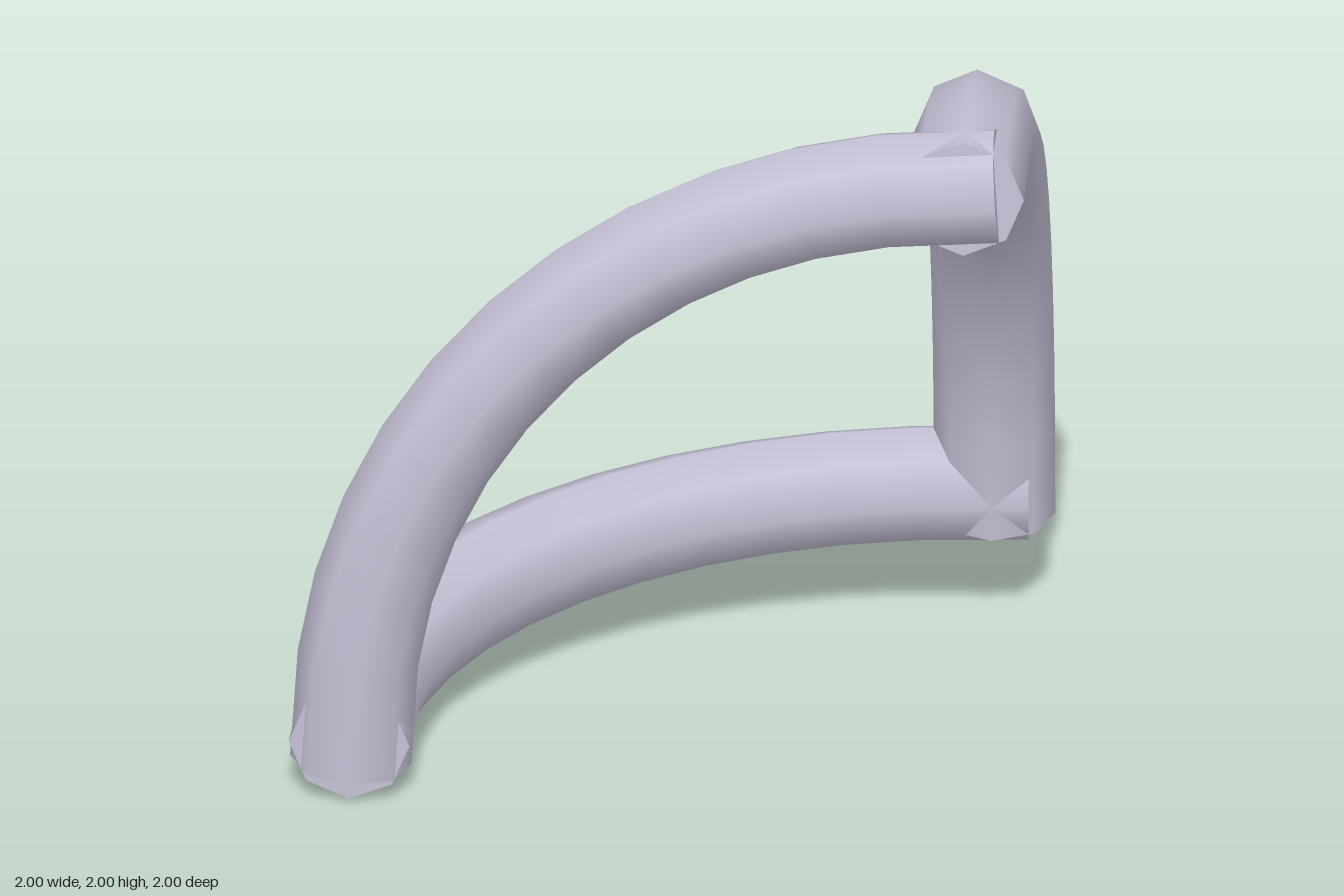
import * as THREE from 'three';

const SIDES = 8, STEPS = 12;
const ARC = 1.664, TUBE = 0.165, OVERRUN = 0.09;

// Quarter-circle octagonal tube sweeping from axis u to axis v, with capped, straight overrunning ends
function quarterTube(u, v) {
  const w = new THREE.Vector3().crossVectors(u, v);
  const step = Math.PI / 2 / STEPS;
  const positions = [], normals = [], index = [];
  const onArc = (t) => u.clone().multiplyScalar(Math.cos(t)).addScaledVector(v, Math.sin(t));
  const push = (p, n) => {
    positions.push(p.x, p.y, p.z);
    normals.push(n.x, n.y, n.z);
    return positions.length / 3 - 1;
  };

  // A cross-section; the end ones sit square to the last straight segment
  const section = (i) => {
    const end = i === 0 ? -1 : i === STEPS ? 1 : 0;
    const tilt = i * step - end * step / 2;
    const out = onArc(tilt);
    const tangent = onArc(tilt + Math.PI / 2);
    const center = onArc(i * step).multiplyScalar(ARC).addScaledVector(tangent, end * OVERRUN);
    const spokes = [];
    for (let j = 0; j <= SIDES; j++) {
      const a = j / SIDES * Math.PI * 2;
      spokes.push(out.clone().multiplyScalar(Math.cos(a)).addScaledVector(w, -Math.sin(a)));
    }
    return { end, tangent, center, spokes, rim: spokes.map((s) => center.clone().addScaledVector(s, TUBE)) };
  };
  const sections = Array.from({ length: STEPS + 1 }, (_, i) => section(i));

  // Smooth wall
  sections.forEach((s) => s.rim.forEach((p, j) => push(p, s.spokes[j])));
  const row = SIDES + 1;
  for (let i = 0; i < STEPS; i++) {
    for (let j = 0; j < SIDES; j++) {
      const a = i * row + j, b = a + 1, c = a + row, d = c + 1;
      index.push(a, b, c, b, d, c);
    }
  }

  // Flat end caps
  for (const s of [sections[0], sections[STEPS]]) {
    const n = s.tangent.clone().multiplyScalar(s.end);
    const hub = push(s.center, n);
    s.rim.forEach((p) => push(p, n));
    for (let j = 1; j <= SIDES; j++) {
      if (s.end > 0) index.push(hub, hub + j, hub + j + 1);
      else index.push(hub, hub + j + 1, hub + j);
    }
  }

  const geometry = new THREE.BufferGeometry();
  geometry.setAttribute('position', new THREE.Float32BufferAttribute(positions, 3));
  geometry.setAttribute('normal', new THREE.Float32BufferAttribute(normals, 3));
  geometry.setIndex(index);
  return geometry;
}

export function createModel() {
  const group = new THREE.Group();
  group.name = 'sphericalTriangleFrame';
  const material = new THREE.MeshStandardMaterial({ color: 0xc4c1d6 });
  material.name = 'paleLavenderGrey';

  // Three arcs edging one eighth of a sphere, around a shared centre
  const right = new THREE.Vector3(-1, 0, 0);
  const up = new THREE.Vector3(0, 1, 0);
  const back = new THREE.Vector3(0, 0, -1);
  const arcs = [['frontArc', right, up], ['sideArc', up, back], ['baseArc', back, right]];
  for (const [name, u, v] of arcs) {
    const mesh = new THREE.Mesh(quarterTube(u, v), material);
    mesh.name = name;
    mesh.position.set(0.835, 0.165, 0.835);
    group.add(mesh);
  }
  return group;
}
